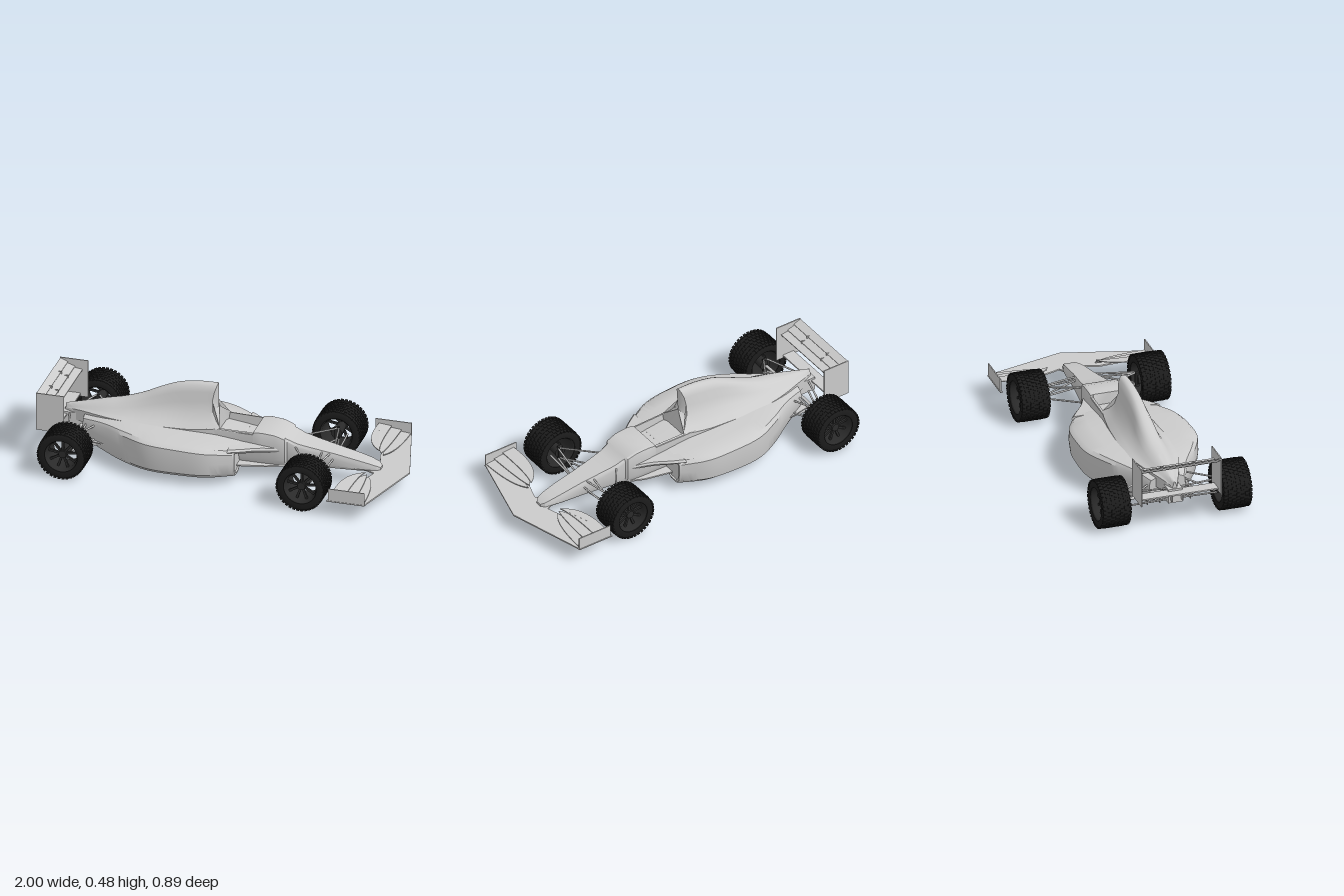
import * as THREE from 'three';
import { toCreasedNormals, mergeGeometries } from 'three/addons/utils/BufferGeometryUtils.js';

const grey = new THREE.MeshStandardMaterial({ color: 0xcccccc, side: THREE.DoubleSide });
const rubber = new THREE.MeshStandardMaterial({ color: 0x1c1c1c });
const rimPaint = new THREE.MeshStandardMaterial({ color: 0x2a2a2a, side: THREE.DoubleSide });

function add(parent, name, geometry, material = grey, x = 0, y = 0, z = 0) {
  const mesh = new THREE.Mesh(geometry, material);
  mesh.name = name;
  mesh.position.set(x, y, z);
  parent.add(mesh);
  return mesh;
}

// Skin over mirrored half sections; each is a list of [x, y, z] from bottom centre to top centre.
function loft(halves, steps = 1, crease = 0.6) {
  const rings = halves.map(h => [...h, ...h.slice(1, -1).reverse().map(([x, y, z]) => [x, y, -z])]
    .map(p => new THREE.Vector3(...p)));
  const n = rings[0].length;
  let rows = rings;
  if (steps > 1) {
    const lines = rings[0].map((_, j) =>
      new THREE.CatmullRomCurve3(rings.map(r => r[j])).getPoints((rings.length - 1) * steps));
    rows = lines[0].map((_, i) => lines.map(l => l[i]));
  }
  const pos = [], tri = (...ps) => ps.forEach(p => pos.push(p.x, p.y, p.z));
  for (let i = 0; i < rows.length - 1; i++) for (let j = 0; j < n; j++) {
    const k = (j + 1) % n, a = rows[i][j], b = rows[i][k], c = rows[i + 1][j], d = rows[i + 1][k];
    tri(a, c, b);
    tri(b, c, d);
  }
  const cap = (row, flip) => {
    const m = row.reduce((s, p) => s.add(p), new THREE.Vector3()).divideScalar(n);
    row.forEach((p, j) => flip ? tri(m, row[(j + 1) % n], p) : tri(m, p, row[(j + 1) % n]));
  };
  cap(rows[0], false);
  cap(rows[rows.length - 1], true);
  const g = new THREE.BufferGeometry();
  g.setAttribute('position', new THREE.Float32BufferAttribute(pos, 3));
  return toCreasedNormals(g, crease);
}

function rod(parent, name, from, to, r = 0.005) {
  const a = new THREE.Vector3(...from), b = new THREE.Vector3(...to);
  const mesh = add(parent, name, new THREE.CylinderGeometry(r, r, a.distanceTo(b), 8));
  mesh.position.copy(a).lerp(b, 0.5);
  mesh.quaternion.setFromUnitVectors(new THREE.Vector3(0, 1, 0), b.sub(a).normalize());
}

// Flat plate from a plan outline of [x, z]
function plate(outline, thick) {
  const s = new THREE.Shape(outline.map(([x, z]) => new THREE.Vector2(x, -z)));
  return new THREE.ExtrudeGeometry(s, { depth: thick, bevelEnabled: false }).rotateX(-Math.PI / 2);
}

// Wheel lying along z, outer face towards +z
function makeWheel(name) {
  const wheel = new THREE.Group();
  wheel.name = name;
  const v = (r, y) => new THREE.Vector2(r, y);
  const tyre = new THREE.LatheGeometry([v(0.09, -0.077), v(0.117, -0.08), v(0.127, -0.074), v(0.1305, -0.06), v(0.1305, 0.06),
    v(0.127, 0.074), v(0.117, 0.08), v(0.09, 0.077), v(0.086, 0), v(0.09, -0.077)], 48).rotateX(Math.PI / 2);
  add(wheel, 'tyre', toCreasedNormals(tyre, 0.7), rubber);
  const knobs = [];
  for (let row = -3; row <= 3; row++) for (let i = 0; i < 36; i++) {
    const b = new THREE.BoxGeometry(0.015, 0.008, 0.018);
    b.translate(0, Math.abs(row) === 3 ? 0.1285 : 0.13, row * 0.0235);
    knobs.push(b.rotateZ((i + (row & 1) / 2) * Math.PI / 18));
  }
  add(wheel, 'tread', mergeGeometries(knobs), rubber);
  add(wheel, 'rim', new THREE.LatheGeometry([v(0.09, -0.075), v(0.082, -0.068), v(0.078, -0.02),
    v(0.08, 0.05), v(0.092, 0.074)], 40).rotateX(Math.PI / 2), rimPaint);
  const spokes = [];
  for (let i = 0; i < 9; i++) {
    spokes.push(new THREE.BoxGeometry(0.012, 0.065, 0.012).translate(0, 0.048, 0.035).rotateZ(i * Math.PI * 2 / 9));
  }
  add(wheel, 'spokes', mergeGeometries(spokes), rimPaint);
  add(wheel, 'hub', new THREE.CylinderGeometry(0.022, 0.03, 0.12, 20).rotateX(Math.PI / 2), rimPaint, 0, 0, -0.01);
  return wheel;
}

function makeBody(car) {
  // Monocoque and nose: x, bottom, half width, top, shoulder drop, cockpit floor
  const tub = [[-0.12, 0.085, 0.115, 0.262, 0.005], [-0.055, 0.085, 0.112, 0.264, 0.003], [-0.05, 0.085, 0.112, 0.264, 0.003, 0.15],
    [0.16, 0.085, 0.108, 0.26, 0.003, 0.15], [0.165, 0.085, 0.108, 0.27, 0.005], [0.21, 0.085, 0.108, 0.274, 0.005],
    [0.28, 0.087, 0.106, 0.268, 0.005], [0.335, 0.088, 0.1, 0.25, 0.007], [0.345, 0.088, 0.09, 0.24, 0.01],
    [0.4, 0.089, 0.083, 0.217, 0.012], [0.48, 0.09, 0.073, 0.2, 0.014], [0.6, 0.092, 0.06, 0.178, 0.015],
    [0.71, 0.094, 0.054, 0.156, 0.016], [0.78, 0.096, 0.047, 0.14, 0.016], [0.825, 0.098, 0.036, 0.126, 0.012], [0.842, 0.1, 0.018, 0.114, 0.005]];
  add(car, 'monocoqueAndNose', loft(tub.map(([x, b, w, t, d, f = t]) => [[x, b, 0], [x, b, w * 0.85],
    [x, b + (t - b) * 0.2, w], [x, t - d * 2, w], [x, t - d, w * 0.98], [x, t, w * 0.88], [x, f, w * 0.84], [x, f, 0]]), 1, 0.5));

  // Sidepods around a raised centre floor: x, half width, bottom, top
  const pod = ([x, w, b, t]) => [[x, Math.max(b, 0.085), 0], [x, Math.max(b, 0.085), w * 0.5], [x, b + 0.012, w * 0.58],
    [x, b, w * 0.66], [x, b, w * 0.88], [x, b + 0.025, w * 0.97], [x, b + (t - b) * 0.5, w], [x, t - 0.032, w * 0.99],
    [x, t - 0.014, w * 0.92], [x, t - 0.003, w * 0.65], [x, t, 0]];
  const pods = [[-0.78, 0.1, 0.1, 0.225], [-0.65, 0.162, 0.062, 0.24], [-0.51, 0.25, 0.05, 0.248], [-0.37, 0.312, 0.048, 0.247],
    [-0.19, 0.32, 0.047, 0.24], [-0.05, 0.303, 0.047, 0.23], [0.085, 0.238, 0.05, 0.215]];
  add(car, 'sidepods', loft(pods.map(pod), 6));
  // Front lip turning back into the air inlets
  const lip = [[0.085, 0.238, 0.05, 0.215], [0.095, 0.232, 0.052, 0.213], [0.095, 0.222, 0.06, 0.205], [-0.04, 0.2, 0.07, 0.195]];
  add(car, 'sidepodInlets', loft(lip.map(pod)));

  // Shoulder decks running forward over the inlets
  const deck = [[0.06, 0.25, 0.185, 0.216], [0.12, 0.212, 0.18, 0.21], [0.2, 0.155, 0.172, 0.203],
    [0.27, 0.12, 0.165, 0.196], [0.34, 0.09, 0.16, 0.185]];
  add(car, 'shoulderDecks', loft(deck.map(([x, w, b, t]) =>
    [[x, b, 0], [x, b, w * 0.93], [x, (b + t) / 2, w], [x, t - 0.004, w * 0.95], [x, t, 0]]), 4));
  add(car, 'splitter', plate([[0.36, -0.07], [0.36, 0.07], [0.24, 0.12], [0.05, 0.16], [0.05, -0.16], [0.24, -0.12]], 0.008), grey, 0, 0.08);

  // Engine cover with a bell shaped section: x, base width, base, top, tightness of the spine
  const cover = ([x, w, b, t, k]) => {
    const h = t - b;
    return [[x, 0.17, 0], [x, 0.17, w], [x, b, w], [x, b + h * 0.12, w * (0.84 - 0.06 * k)], [x, b + h * 0.3, w * (0.72 - 0.2 * k)],
      [x, b + h * 0.55, w * (0.58 - 0.22 * k)], [x, b + h * 0.8, w * (0.4 - 0.1 * k)], [x, b + h * 0.95, w * (0.22 - 0.02 * k)],
      [x, b + h * 0.99, w * 0.1], [x, t, 0]];
  };
  const spine = [[-0.9, 0.012, 0.22, 0.245, 0], [-0.8, 0.055, 0.235, 0.268, 0], [-0.68, 0.1, 0.242, 0.298, 0.1], [-0.58, 0.125, 0.244, 0.322, 0.3],
    [-0.48, 0.135, 0.244, 0.36, 0.6], [-0.38, 0.138, 0.244, 0.41, 0.9], [-0.28, 0.132, 0.244, 0.452, 1], [-0.17, 0.125, 0.246, 0.473, 1]];
  // Airbox front edge, mouth rim and the duct inside it
  const front = [[-0.03, 0.17, 0], [-0.03, 0.17, 0.113], [-0.02, 0.262, 0.108], [-0.05, 0.285, 0.082], [-0.076, 0.325, 0.056],
    [-0.082, 0.385, 0.038], [-0.072, 0.435, 0.034], [-0.063, 0.464, 0.024], [-0.059, 0.476, 0.012], [-0.058, 0.479, 0]];
  add(car, 'engineCover', loft([...spine.map(cover), front], 5, 0.7));
  const rim = [[-0.03, 0.17, 0], [-0.03, 0.17, 0.108], [-0.02, 0.262, 0.103], [-0.05, 0.285, 0.076], [-0.076, 0.328, 0.05],
    [-0.082, 0.385, 0.034], [-0.072, 0.433, 0.03], [-0.063, 0.459, 0.02], [-0.059, 0.469, 0.01], [-0.058, 0.472, 0]];
  const duct = rim.map(([x, y, z]) => y < 0.38 ? [-0.083, 0.384, Math.min(z, 0.033)] : [-0.24, 0.384 + (y - 0.384) * 0.1, z * 0.8]);
  add(car, 'airboxMouth', loft([front, rim, duct], 1, 0.4));
  add(car, 'gearbox', new THREE.BoxGeometry(0.2, 0.08, 0.08), grey, -0.81, 0.17);
}

function makeWings(car) {
  // Front wing: swept main plane
  add(car, 'frontMainPlane', plate([[1, 0], [0.88, 0.435], [0.85, 0.435], [0.8, 0.3], [0.79, 0.15],
    [0.82, 0.06], [0.76, 0.03], [0.76, -0.03], [0.82, -0.06], [0.79, -0.15], [0.8, -0.3], [0.85, -0.435], [0.88, -0.435]], 0.008), grey, 0, 0.094);
  // Rear wing: three overlapping slats and a lower beam
  [[-0.905, 0.341, 0.06, 0.15], [-0.943, 0.359, 0.055, 0.3], [-0.978, 0.38, 0.046, 0.4]].forEach(([x, y, c, a]) => {
    add(car, 'rearWingSlat', new THREE.BoxGeometry(c, 0.006, 0.445), grey, x, y).rotation.z = -a;
  });
  add(car, 'rearLowerBeam', new THREE.BoxGeometry(0.07, 0.008, 0.445), grey, -0.92, 0.195);
  for (const s of [-1, 1]) {
    add(car, 'frontEndplate', new THREE.BoxGeometry(0.2, 0.072, 0.006), grey, 0.78, 0.133, s * 0.437);
    add(car, 'frontFootplate', new THREE.BoxGeometry(0.21, 0.005, 0.014), grey, 0.775, 0.097, s * 0.436);
    // Curved flaps that converge towards the nose
    [[0.875, 0.815, 0.104], [0.825, 0.76, 0.119], [0.77, 0.7, 0.134]].forEach(([xa, xb, y], i) => {
      const edge = (x, pull) => new THREE.QuadraticBezierCurve(new THREE.Vector2(x, s * 0.433),
        new THREE.Vector2(x - pull, s * 0.2), new THREE.Vector2(0.81 - i * 0.008, s * 0.135)).getPoints(12).map(p => [p.x, p.y]);
      const g = plate([...edge(xa, 0.005), ...edge(xb, 0.02).reverse()], 0.005);
      const p = g.attributes.position;
      for (let k = 0; k < p.count; k++) p.setY(k, p.getY(k) + Math.max(0, xa - p.getX(k)) * 0.1);
      g.computeVertexNormals();
      add(car, 'frontFlap', g, grey, 0, y, 0);
    });
    add(car, 'rearEndplate', new THREE.BoxGeometry(0.155, 0.215, 0.006), grey, -0.922, 0.287, s * 0.223);
    for (const [x, y] of [[-0.925, 0.353], [-0.96, 0.371]]) {
      add(car, 'slatTab', new THREE.BoxGeometry(0.02, 0.018, 0.005), grey, x, y, s * 0.09);
    }
    add(car, 'rearWingPylon', new THREE.BoxGeometry(0.07, 0.05, 0.006), grey, -0.9, 0.172, s * 0.03);
    // Diffuser fins
    [0.05, 0.12].forEach(z => add(car, 'diffuserFin', new THREE.BoxGeometry(0.15, 0.03, 0.004), grey, -0.72, 0.092, s * z));
  }
  add(car, 'diffuser', plate([[-0.62, -0.16], [-0.62, 0.16], [-0.8, 0.13], [-0.8, -0.13]], 0.006), grey, 0, 0.104);
}

function makeRunningGear(car) {
  for (const s of [-1, 1]) {
    [['frontWheel', 0.515], ['rearWheel', -0.805]].forEach(([name, x]) => {
      const w = makeWheel(name);
      w.position.set(x, 0.136, s * 0.338);
      if (s < 0) w.rotation.y = Math.PI;
      car.add(w);
      add(car, name + 'Upright', new THREE.BoxGeometry(0.025, 0.08, 0.02), rimPaint, x, 0.136, s * 0.268);
    });
    // Front wishbones, pushrod and steering arm: inner point, outer point
    [[[0.39, 0.2, 0.075], [0.52, 0.17, 0.26]], [[0.57, 0.175, 0.055], [0.53, 0.17, 0.26]],
      [[0.39, 0.11, 0.075], [0.52, 0.105, 0.26]], [[0.57, 0.11, 0.055], [0.53, 0.105, 0.26]],
      [[0.53, 0.18, 0.055], [0.525, 0.115, 0.25]], [[0.59, 0.145, 0.05], [0.575, 0.14, 0.27]],
      // Rear wishbones, pushrod and driveshaft
      [[-0.67, 0.2, 0.06], [-0.79, 0.18, 0.26]], [[-0.87, 0.2, 0.035], [-0.81, 0.18, 0.26]],
      [[-0.67, 0.12, 0.06], [-0.79, 0.1, 0.26]], [[-0.87, 0.135, 0.035], [-0.81, 0.1, 0.26]],
      [[-0.75, 0.21, 0.05], [-0.79, 0.11, 0.25]], [[-0.805, 0.145, 0.035], [-0.805, 0.136, 0.27], 0.008]]
      .forEach(([a, b, r]) => rod(car, 'suspensionArm', [a[0], a[1], s * a[2]], [b[0], b[1], s * b[2]], r));
  }
}

export function createModel() {
  const car = new THREE.Group();
  car.name = 'openWheelRacingCar';
  const body = new THREE.Group();
  body.name = 'body';
  body.position.z = -0.005;
  car.add(body);
  makeBody(body);
  makeWings(car);
  makeRunningGear(car);
  return car;
}
